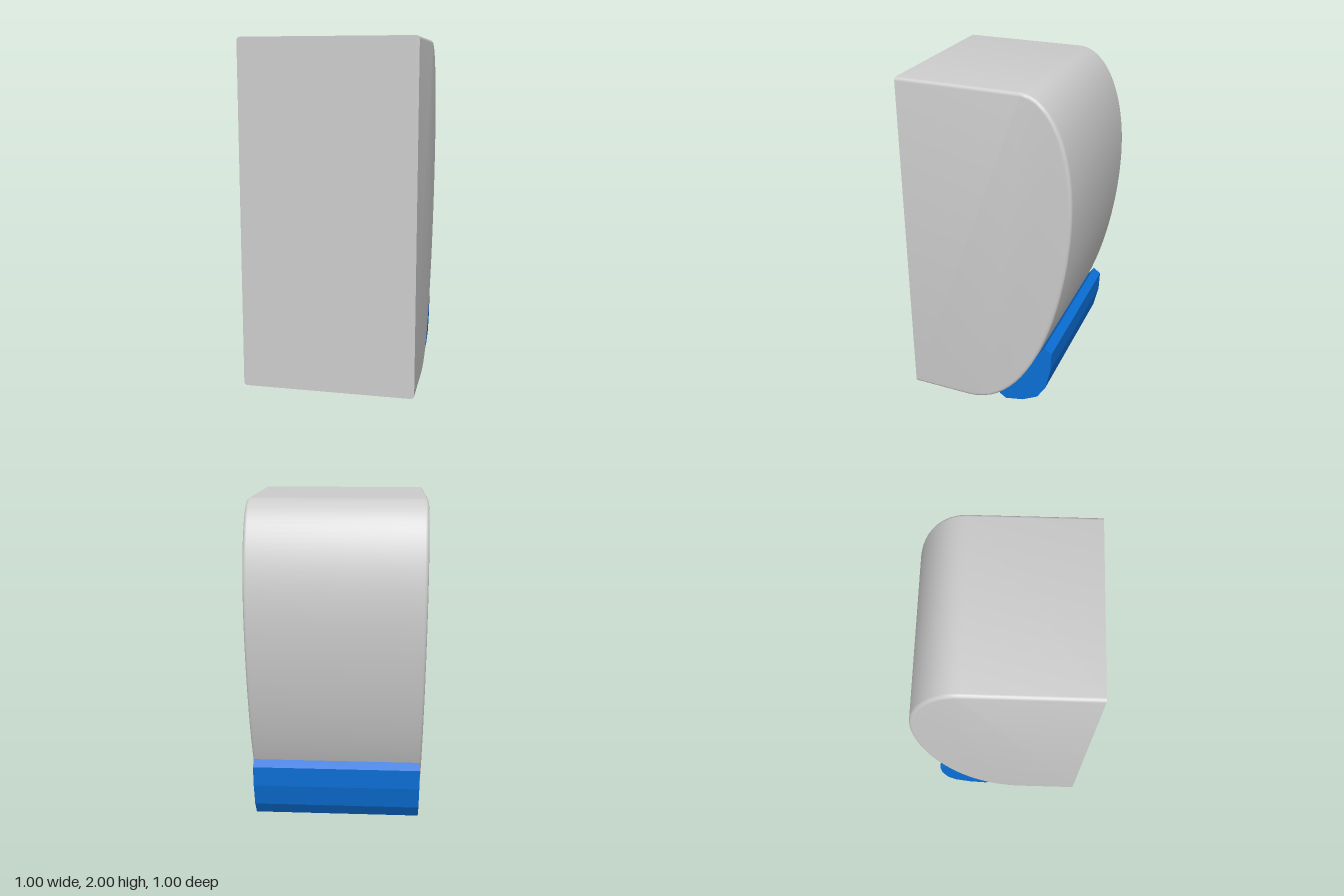
import * as THREE from 'three';
import { toCreasedNormals } from 'three/addons/utils/BufferGeometryUtils.js';

const BEVEL = 0.02;
const FRONT = 0.5;

// Extrudes a side profile (drawn as -z, y) across the width, centred on x = 0
function extrudeAcross(shape, width, bevel, curveSegments) {
  const geometry = new THREE.ExtrudeGeometry(shape, {
    depth: width - 2 * bevel,
    curveSegments,
    bevelEnabled: bevel > 0,
    bevelSize: bevel,
    bevelThickness: bevel,
    bevelOffset: -bevel,
    bevelSegments: 4,
  });
  geometry.translate(0, 0, -(width - 2 * bevel) / 2);
  geometry.rotateY(Math.PI / 2);
  return geometry;
}

// Housing: flat front, domed back, softly rounded side edges
function createHousing() {
  const s = new THREE.Shape();
  s.moveTo(-FRONT - BEVEL, 0);
  s.lineTo(-0.14, 0);
  s.bezierCurveTo(0.3, 0, 0.5, 0.85, 0.5, 1.35);
  s.bezierCurveTo(0.5, 1.72, 0.38, 2, 0.2, 2);
  s.lineTo(-FRONT - BEVEL, 2);
  s.closePath();

  // Trim the front flat so its vertical edges stay sharp
  const geometry = extrudeAcross(s, 1, BEVEL, 24);
  const pos = geometry.attributes.position;
  for (let i = 0; i < pos.count; i++) pos.setZ(i, Math.min(pos.getZ(i), FRONT));

  const mesh = new THREE.Mesh(
    toCreasedNormals(geometry, 0.6),
    new THREE.MeshStandardMaterial({ color: 0xcccccc })
  );
  mesh.name = 'housing';
  return mesh;
}

// Push bar: faceted blue lip along the lower back
function createPushBar() {
  const profile = [
    [0.075, 0.075], [0.117, 0.047], [0.228, 0.07], [0.32, 0.12],
    [0.37, 0.2], [0.4, 0.335], [0.405, 0.455], [0.36, 0.487],
  ].map(([x, y]) => new THREE.Vector2(x, y));
  const mesh = new THREE.Mesh(
    extrudeAcross(new THREE.Shape(profile), 0.98, 0, 1),
    new THREE.MeshStandardMaterial({ color: 0x0b6fd6, flatShading: true })
  );
  mesh.name = 'pushBar';
  return mesh;
}

export function createModel() {
  const model = new THREE.Group();
  model.name = 'wallDispenser';
  model.add(createHousing(), createPushBar());
  return model;
}
